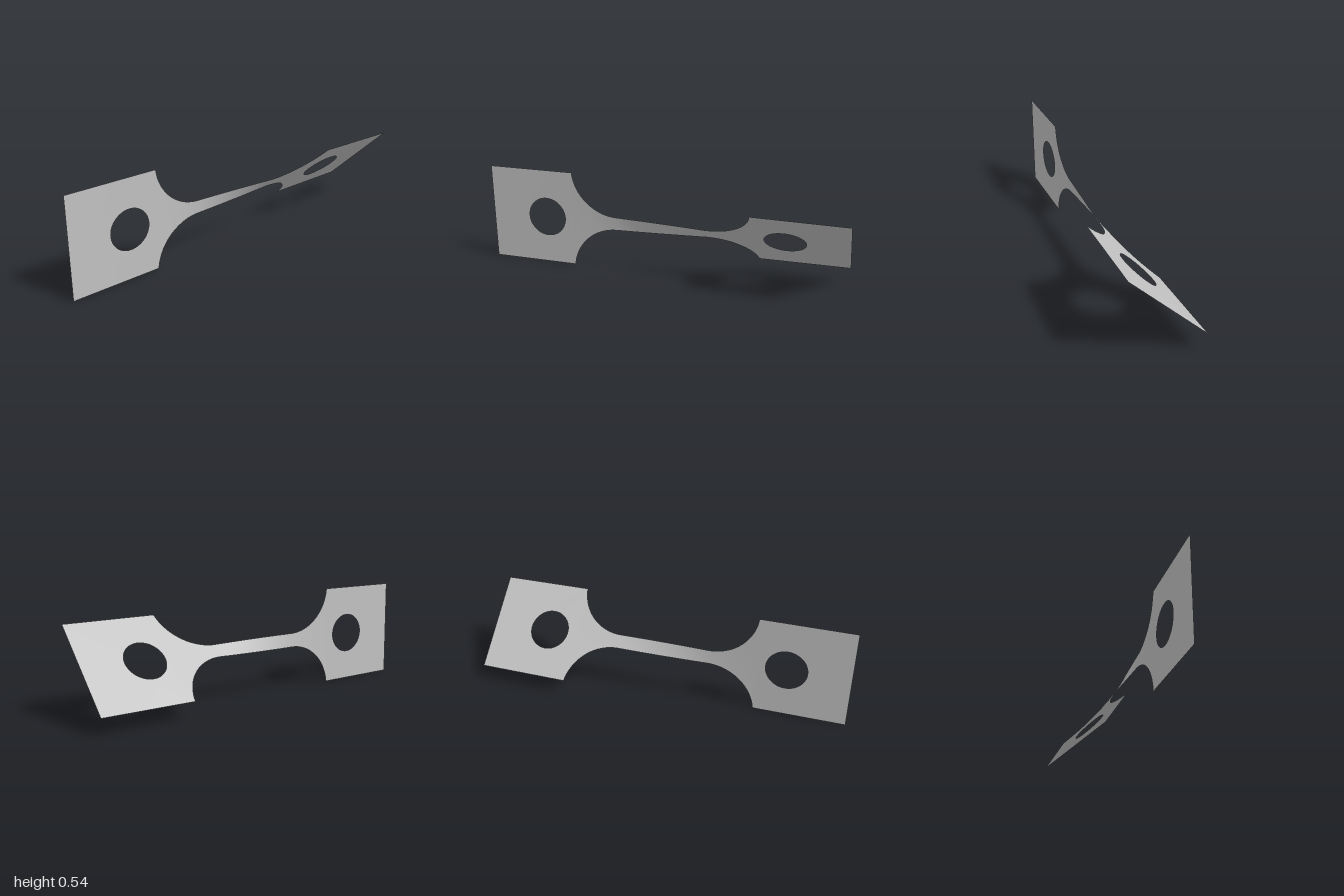
import * as THREE from 'three';

const HALF = 0.271;          // half width of the grips
const R = 0.26;              // fillet radius
const NECK_X = 0.25;         // where the fillets meet the gauge
const NECK = 0.038;          // half width of the gauge
const A0 = Math.asin((NECK + R - HALF) / R);
const GRIP_X = NECK_X + R * Math.cos(A0);

// Twist angle in degrees along the length
const TWIST = [[-1, 0.4], [-0.5, 1], [-0.38, 2.2], [-0.25, 6], [0.25, 41.5], [0.38, 45.2], [0.5, 46.3], [1, 47.2]];
function twistAt(x) {
  let i = 0;
  while (i < TWIST.length - 2 && x > TWIST[i + 1][0]) i++;
  const [x0, a0] = TWIST[i], [x1, a1] = TWIST[i + 1];
  return THREE.MathUtils.degToRad(a0 + (a1 - a0) * (x - x0) / (x1 - x0));
}

// Rotates every point about the long axis by the local twist
function twist(geometry) {
  const p = geometry.attributes.position;
  for (let i = 0; i < p.count; i++) {
    const x = p.getX(i), v = p.getY(i), a = twistAt(x);
    p.setXYZ(i, x, HALF + v * Math.cos(a), v * Math.sin(a));
  }
  geometry.computeVertexNormals();
  return geometry;
}

// Square end plate with a round hole
function gripGeometry(side) {
  const a = Math.min(side, side * GRIP_X), b = Math.max(side, side * GRIP_X);
  const shape = new THREE.Shape();
  shape.moveTo(a, -HALF).lineTo(b, -HALF).lineTo(b, HALF).lineTo(a, HALF).closePath();
  const hole = new THREE.Path();
  hole.absarc(side * 0.668, 0, 0.109, 0, Math.PI * 2, true);
  shape.holes.push(hole);
  return twist(new THREE.ShapeGeometry(shape, 32));
}

// Narrow middle strip flaring through round fillets into the grips
function gaugeGeometry() {
  const stations = [];
  const N = 24, M = 40;
  for (let i = 0; i <= N; i++) {
    const a = A0 + (Math.PI / 2 - A0) * i / N;
    stations.push([-NECK_X - R * Math.cos(a), NECK + R - R * Math.sin(a)]);
  }
  for (let i = 1; i < M; i++) stations.push([-NECK_X + 2 * NECK_X * i / M, NECK]);
  for (let i = N; i >= 0; i--) stations.push([-stations[i][0], stations[i][1]]);

  const cols = stations.length - 1, rows = 8;
  const geometry = new THREE.PlaneGeometry(1, 1, cols, rows);
  const p = geometry.attributes.position;
  for (let i = 0; i < p.count; i++) {
    const [x, h] = stations[i % (cols + 1)];
    p.setXY(i, x, p.getY(i) * 2 * h);
  }
  return twist(geometry);
}

export function createModel() {
  const group = new THREE.Group();
  group.name = 'twistedTestStrip';
  const metal = new THREE.MeshStandardMaterial({ color: 0xc2c2c2, side: THREE.DoubleSide });
  metal.name = 'greyMetal';

  const add = (name, geometry) => {
    const mesh = new THREE.Mesh(geometry, metal);
    mesh.name = name;
    group.add(mesh);
  };
  add('rightGrip', gripGeometry(-1));
  add('gauge', gaugeGeometry());
  add('leftGrip', gripGeometry(1));
  return group;
}
